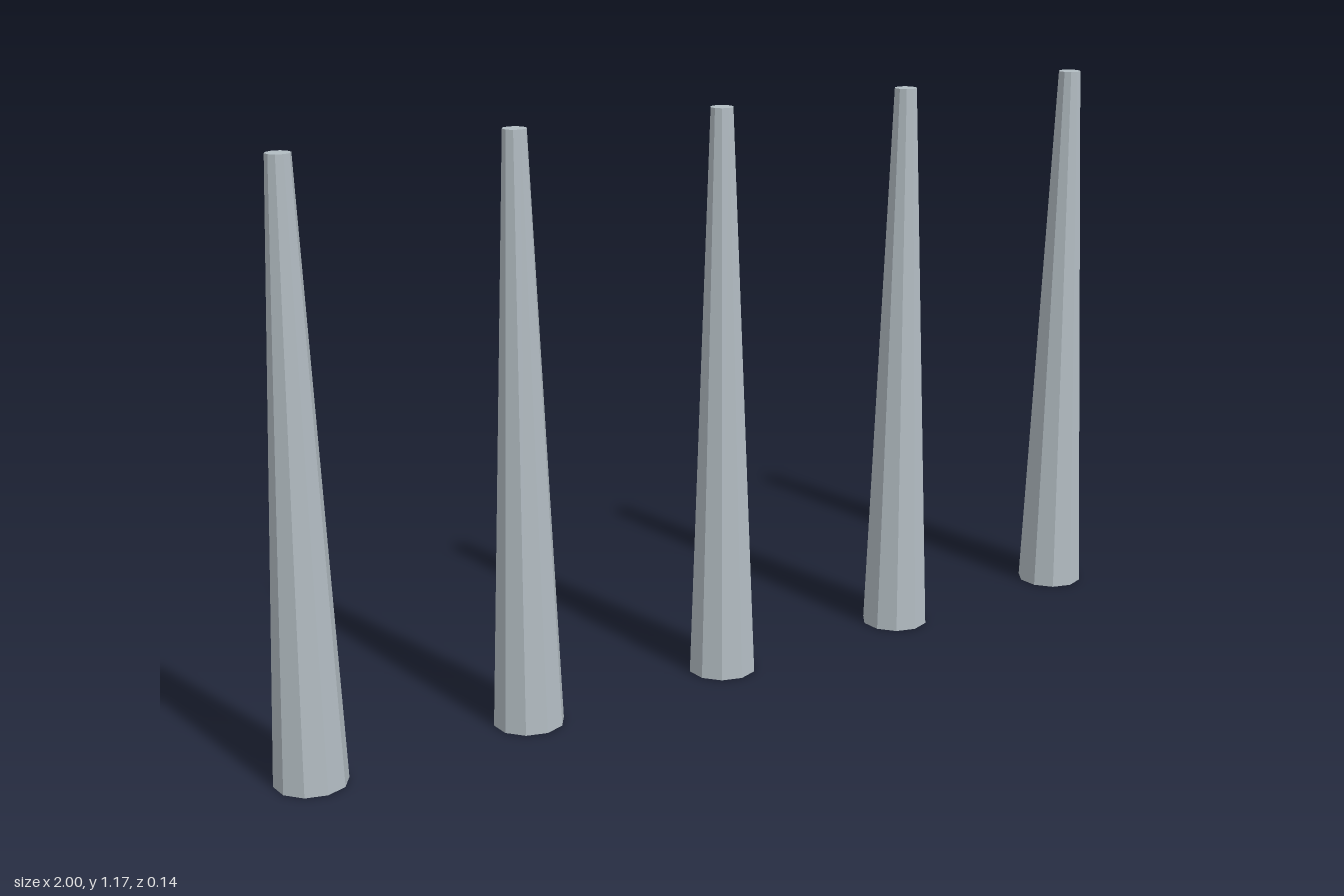
import * as THREE from 'three';

const COUNT = 5;
const SPACING = 0.4667;
const HEIGHT = 1.1668;

export function createModel() {
  const group = new THREE.Group();
  group.name = 'pillarRow';

  const paleSteel = new THREE.MeshStandardMaterial({ color: 0xb2bcc2 });
  paleSteel.name = 'paleSteel';
  paleSteel.flatShading = true;

  // Tapered ten-sided pillar, standing on the ground
  const geometry = new THREE.CylinderGeometry(0.0233, 0.07, HEIGHT, 10);
  geometry.translate(0, HEIGHT / 2, 0);

  // Evenly spaced row along x
  for (let i = 0; i < COUNT; i++) {
    const pillar = new THREE.Mesh(geometry, paleSteel);
    pillar.name = `pillar${i + 1}`;
    pillar.position.x = (i - (COUNT - 1) / 2) * SPACING;
    group.add(pillar);
  }
  return group;
}
